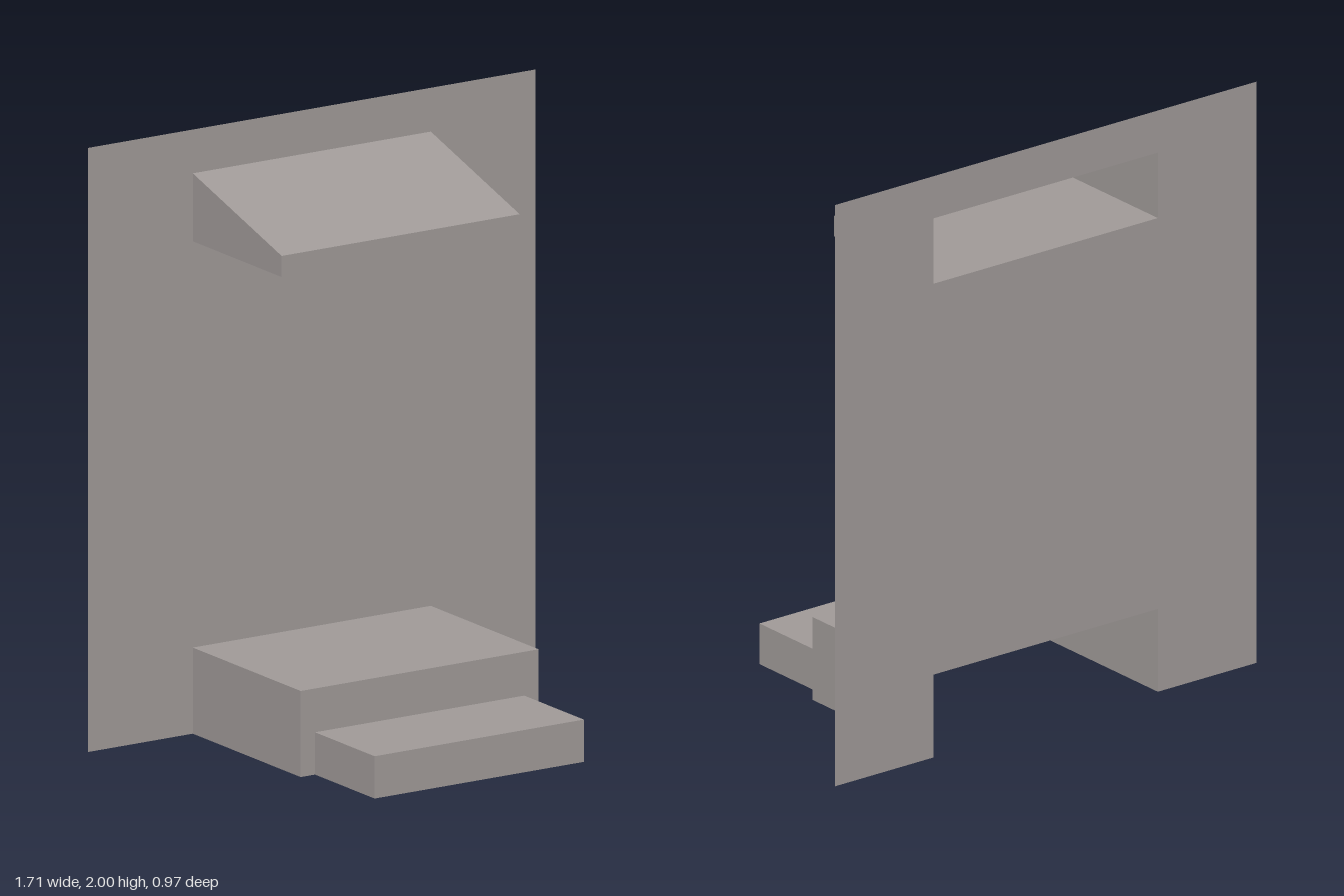
import * as THREE from 'three';

const BACK = -0.485; // plane of the wall

export function createModel() {
  const stone = new THREE.MeshStandardMaterial({ color: 0xa09a98, side: THREE.DoubleSide });
  stone.name = 'warm grey';
  const model = new THREE.Group();
  model.name = 'entrance';

  const add = (parent, name, geometry) => {
    const mesh = new THREE.Mesh(geometry, stone);
    mesh.name = name;
    parent.add(mesh);
    return mesh;
  };
  const outline = (pts) => new THREE.Shape(pts.map(([x, y]) => new THREE.Vector2(x, y)));

  // Open sheet: a [z, y] profile swept from x = -w to x = w
  const sheet = (profile, w) => {
    const points = [];
    for (let i = 0; i + 1 < profile.length; i++) {
      const [[z0, y0], [z1, y1]] = [profile[i], profile[i + 1]];
      const a = new THREE.Vector3(-w, y0, z0), b = new THREE.Vector3(w, y0, z0);
      const c = new THREE.Vector3(w, y1, z1), d = new THREE.Vector3(-w, y1, z1);
      points.push(a, b, c, a, c, d);
    }
    const geometry = new THREE.BufferGeometry().setFromPoints(points);
    geometry.computeVertexNormals();
    return geometry;
  };

  // Hollow shell: swept sheet plus a flat cheek on each side
  const shell = (name, profile, cheek, w) => {
    const group = new THREE.Group();
    group.name = name;
    add(group, name + 'Cover', sheet(profile, w));
    for (const side of [-1, 1]) {
      const pts = cheek.map(([z, y]) => [side * -z, y]);
      const geometry = new THREE.ShapeGeometry(outline(pts)).rotateY(side * Math.PI / 2);
      add(group, name + (side > 0 ? 'LeftCheek' : 'RightCheek'), geometry.translate(side * w, 0, 0));
    }
    model.add(group);
    return group;
  };

  // Wall with a doorstep notch at the bottom and a slot behind the canopy
  const wall = outline([
    [-0.855, 0], [-0.455, 0], [-0.455, 0.285], [0.455, 0.285],
    [0.455, 0], [0.855, 0], [0.855, 2], [-0.855, 2],
  ]);
  wall.holes.push(new THREE.Path([
    [-0.455, 1.63], [-0.455, 1.855], [0.455, 1.855], [0.455, 1.63],
  ].map(([x, y]) => new THREE.Vector2(x, y))));
  add(model, 'wall', new THREE.ShapeGeometry(wall).translate(0, 0, BACK));

  // Sloping canopy, open towards the wall
  const canopy = [[BACK, 1.63], [0.03, 1.63], [0.03, 1.7], [BACK, 1.855]];
  shell('canopy', canopy, canopy, 0.455);

  // Upper step, open below and behind, its riser notched for the lower step
  const upper = shell('upperStep', [[0.14, 0.285], [BACK, 0.285]],
    [[BACK, 0], [0.14, 0], [0.14, 0.285], [BACK, 0.285]], 0.455);
  add(upper, 'upperStepRiser', new THREE.ShapeGeometry(outline([
    [-0.455, 0], [-0.4, 0], [-0.4, 0.14], [0.4, 0.14],
    [0.4, 0], [0.455, 0], [0.455, 0.285], [-0.455, 0.285],
  ])).translate(0, 0, 0.14));

  // Lower step, open below
  shell('lowerStep', [[0.485, 0], [0.485, 0.14], [0.14, 0.14]],
    [[0.14, 0], [0.485, 0], [0.485, 0.14], [0.14, 0.14]], 0.4);

  return model;
}
